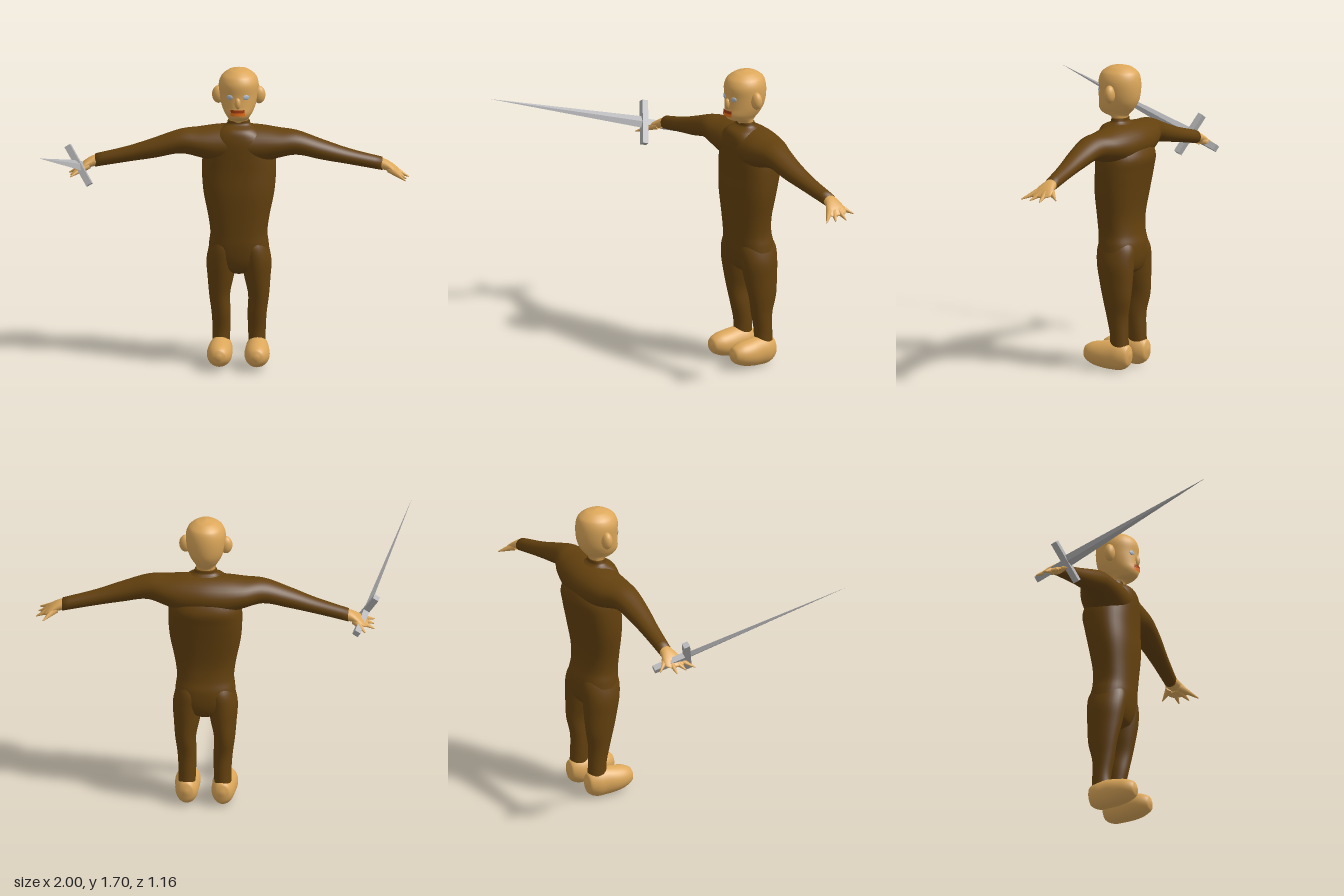
import * as THREE from 'three';

const AXES = { x: [0, 1, 2], y: [1, 2, 0], z: [2, 0, 1] };

// Smooth closed loft along an axis; rings are [position, centreA, centreB, radiusA, radiusB]
// where A and B are the next two axes in cyclic order (x: y,z / y: z,x / z: x,y).
function loft(axis, rings, power = 2, sides = 32, steps = 5) {
  const [w, u, v] = AXES[axis];
  const centres = new THREE.CatmullRomCurve3(rings.map(r => new THREE.Vector3(r[0], r[1], r[2])));
  const radii = new THREE.CatmullRomCurve3(rings.map(r => new THREE.Vector3(r[3], r[4], r[0])));
  const count = (rings.length - 1) * steps;
  const pos = [], idx = [];
  const put = (p, a, b) => {
    const q = [0, 0, 0];
    q[w] = p; q[u] = a; q[v] = b;
    pos.push(...q);
  };
  const bend = t => Math.sign(t) * Math.abs(t) ** (2 / power);
  for (let i = 0; i <= count; i++) {
    const c = centres.getPoint(i / count), r = radii.getPoint(i / count);
    for (let j = 0; j < sides; j++) {
      const a = j / sides * Math.PI * 2;
      put(c.x, c.y + r.x * bend(Math.cos(a)), c.z + r.y * bend(Math.sin(a)));
    }
  }
  for (let i = 0; i < count; i++) for (let j = 0; j < sides; j++) {
    const k = (j + 1) % sides;
    const a = i * sides + j, b = i * sides + k, c = a + sides, d = b + sides;
    idx.push(a, b, c, b, d, c);
  }
  const first = pos.length / 3, last = rings[rings.length - 1];
  put(...rings[0]);
  put(...last);
  for (let j = 0; j < sides; j++) {
    const k = (j + 1) % sides;
    idx.push(first, k, j, first + 1, count * sides + j, count * sides + k);
  }
  const geo = new THREE.BufferGeometry();
  geo.setAttribute('position', new THREE.Float32BufferAttribute(pos, 3));
  geo.setIndex(idx);
  geo.computeVertexNormals();
  return geo;
}

// Mirror a geometry in x, keeping faces outward
function mirror(geo) {
  const m = geo.clone().scale(-1, 1, 1), ix = m.index.array;
  for (let i = 0; i < ix.length; i += 3) [ix[i], ix[i + 1]] = [ix[i + 1], ix[i]];
  return m;
}

const ellipsoid = (x, y, z, rx, ry, rz, turn = 0) =>
  new THREE.SphereGeometry(1, 20, 14).scale(rx, ry, rz).rotateY(turn).translate(x, y, z);

// Tapered round bar between two points
function taper(from, to, r0, r1) {
  const a = new THREE.Vector3(...from), b = new THREE.Vector3(...to), d = b.clone().sub(a);
  const q = new THREE.Quaternion().setFromUnitVectors(new THREE.Vector3(0, 1, 0), d.clone().normalize());
  const mid = a.add(b).multiplyScalar(0.5);
  return new THREE.CylinderGeometry(r1, r0, d.length(), 10).applyQuaternion(q).translate(mid.x, mid.y, mid.z);
}

export function createModel() {
  const mat = (name, color, flatShading = false) => {
    const m = new THREE.MeshStandardMaterial({ color, flatShading });
    m.name = name;
    return m;
  };
  const cloth = mat('brown cloth', 0x64410e);
  const skin = mat('skin', 0xdca75a);
  const eyeBlue = mat('pale eye', 0xaab6c6);
  const lipOrange = mat('orange lip', 0xe8701a);
  const lipDark = mat('dark mouth', 0xa83c10);
  const steel = mat('steel', 0xb2b2b4, true);

  const model = new THREE.Group();
  const figure = new THREE.Group();
  figure.name = 'figure';
  figure.position.x = 0.058;
  model.add(figure);

  const add = (parent, name, geo, material) => {
    const m = new THREE.Mesh(geo, material);
    m.name = name;
    parent.add(m);
    return m;
  };
  const pair = (name, geo, material) => {
    add(figure, 'left' + name, geo, material);
    add(figure, 'right' + name, mirror(geo), material);
  };

  // Torso with collar
  add(figure, 'torso', loft('y', [
    [0.53, -0.43, 0, 0.05, 0.04], [0.56, -0.43, 0, 0.09, 0.12],
    [0.62, -0.428, 0, 0.11, 0.165], [0.70, -0.423, 0, 0.117, 0.165],
    [0.76, -0.415, 0, 0.112, 0.158], [0.85, -0.41, 0, 0.112, 0.168],
    [1.0, -0.417, 0, 0.127, 0.197], [1.12, -0.43, 0, 0.138, 0.205],
    [1.2, -0.435, 0, 0.145, 0.2], [1.3, -0.41, 0, 0.12, 0.17],
    [1.36, -0.395, 0, 0.085, 0.1], [1.385, -0.403, 0, 0.045, 0.066],
    [1.405, -0.403, 0, 0.043, 0.06],
  ], 2.3, 40), cloth);

  // Shoulders and sleeves, one loft from wrist to wrist
  const sleeve = [
    [0.12, 1.265, -0.425, 0.105, 0.132], [0.22, 1.274, -0.415, 0.083, 0.115],
    [0.32, 1.28, -0.4, 0.068, 0.085], [0.46, 1.243, -0.396, 0.057, 0.066],
    [0.61, 1.203, -0.405, 0.044, 0.05], [0.795, 1.16, -0.42, 0.037, 0.037],
  ];
  const otherSleeve = sleeve.map(([x, ...rest]) => [-x, ...rest]).reverse();
  add(figure, 'sleeves', loft('x', [...otherSleeve, [0, 1.268, -0.43, 0.107, 0.138], ...sleeve]), cloth);

  // Legs
  pair('Leg', loft('y', [
    [0.12, -0.455, 0.1, 0.055, 0.047], [0.2, -0.453, 0.098, 0.053, 0.049],
    [0.3, -0.443, 0.1, 0.063, 0.053], [0.4, -0.443, 0.108, 0.083, 0.058],
    [0.5, -0.435, 0.102, 0.098, 0.072], [0.6, -0.428, 0.096, 0.109, 0.084],
    [0.68, -0.425, 0.085, 0.11, 0.08], [0.74, -0.42, 0.075, 0.09, 0.07],
  ]), cloth);

  // Feet
  pair('Foot', loft('z', [
    [-0.527, 0.1, 0.09, 0.01, 0.01], [-0.515, 0.1, 0.085, 0.042, 0.055],
    [-0.47, 0.1, 0.082, 0.062, 0.08], [-0.42, 0.102, 0.083, 0.066, 0.082],
    [-0.35, 0.104, 0.082, 0.07, 0.075], [-0.29, 0.104, 0.084, 0.062, 0.062],
    [-0.25, 0.104, 0.085, 0.04, 0.04], [-0.238, 0.104, 0.085, 0.01, 0.01],
  ]), skin);

  // Hands: flattened palm with spread pointed fingers
  pair('Palm', loft('x', [
    [0.77, 1.164, -0.42, 0.033, 0.034], [0.815, 1.153, -0.418, 0.03, 0.042],
    [0.86, 1.13, -0.413, 0.023, 0.058], [0.885, 1.115, -0.41, 0.014, 0.058],
    [0.9, 1.107, -0.408, 0.005, 0.04],
  ], 2, 20), skin);
  [
    [[0.835, 1.135, -0.44], [0.895, 1.095, -0.51]],
    [[0.85, 1.13, -0.425], [0.94, 1.085, -0.43]],
    [[0.85, 1.13, -0.405], [0.93, 1.088, -0.365]],
    [[0.84, 1.135, -0.39], [0.928, 1.09, -0.307]],
  ].forEach(([a, b], i) => pair('Finger' + (i + 1), taper(a, b, 0.024, 0.003), skin));

  // Head
  add(figure, 'head', loft('y', [
    [1.38, -0.403, 0, 0.038, 0.05], [1.412, -0.398, 0, 0.048, 0.054],
    [1.43, -0.378, 0, 0.083, 0.062], [1.46, -0.382, 0, 0.106, 0.08],
    [1.50, -0.395, 0, 0.115, 0.096], [1.56, -0.402, 0, 0.119, 0.108],
    [1.62, -0.4, 0, 0.119, 0.11], [1.66, -0.402, 0, 0.104, 0.094],
    [1.69, -0.403, 0, 0.062, 0.054], [1.702, -0.403, 0, 0.008, 0.008],
  ]), skin);
  add(figure, 'nose', ellipsoid(0, 1.525, -0.284, 0.017, 0.032, 0.018), skin);
  pair('Ear', ellipsoid(0.112, 1.55, -0.4, 0.036, 0.05, 0.03), skin);
  pair('Eye', ellipsoid(0.045, 1.558, -0.294, 0.019, 0.014, 0.005, 0.4), eyeBlue);

  // Mouth: thin curved strips following the face
  const strip = (name, y, h, out, material) => add(figure, name,
    new THREE.CylinderGeometry(1, 1, h, 12, 1, true, -0.45, 0.9)
      .scale(0.085 + out, 1, 0.108 + out).translate(0, y, -0.383), material);
  strip('upperLip', 1.484, 0.012, 0.004, lipDark);
  strip('mouthGap', 1.474, 0.008, 0.003, lipDark);
  strip('lowerLip', 1.464, 0.018, 0.005, lipOrange);

  // Sword: local y runs to the tip, local x along the guard
  const sword = new THREE.Group();
  sword.name = 'sword';
  const hub = new THREE.Vector3(-0.825, 1.15, -0.335);
  const along = new THREE.Vector3(-1, 1.42, 0.58).sub(hub);
  const length = along.length();
  along.normalize();
  const across = new THREE.Vector3(0.125, -0.2, 0.09);
  across.addScaledVector(along, -across.dot(along)).normalize();
  sword.matrix.makeBasis(across, along, across.clone().cross(along)).setPosition(hub);
  sword.matrix.decompose(sword.position, sword.quaternion, sword.scale);
  add(sword, 'blade', new THREE.ConeGeometry(1, length, 4).scale(0.034, 1, 0.014)
    .translate(0, length / 2, 0), steel);
  add(sword, 'guard', new THREE.BoxGeometry(0.25, 0.035, 0.035), steel);
  add(sword, 'grip', new THREE.BoxGeometry(0.035, 0.2, 0.035).translate(0, -0.1, 0), steel);
  model.add(sword);

  return model;
}
